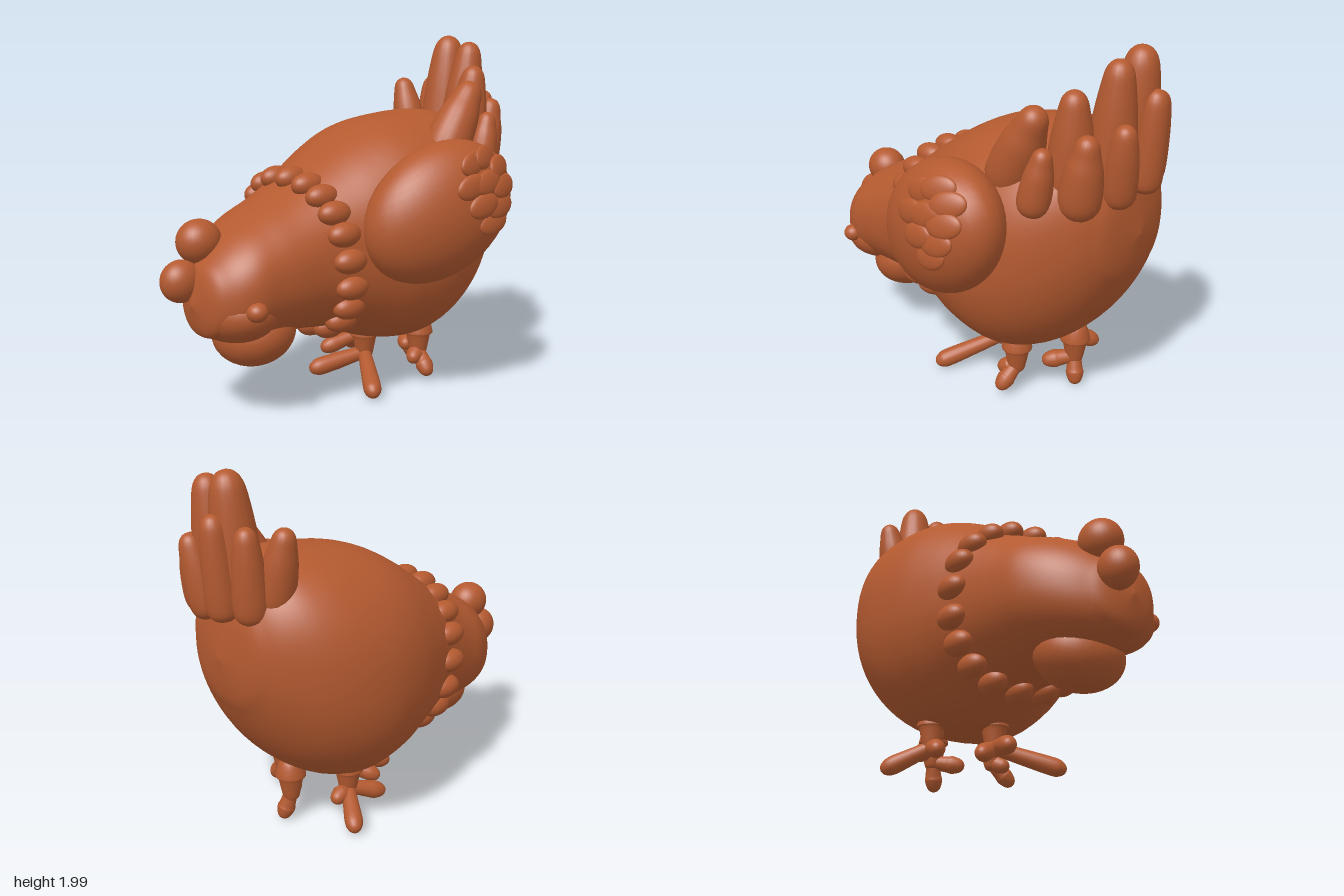
import * as THREE from 'three';

const clay = new THREE.MeshStandardMaterial({ color: 0xb45a30 });
clay.name = 'terracotta';

const V = (p) => new THREE.Vector3(...p);

function add(parent, name, geometry) {
  const mesh = new THREE.Mesh(geometry, clay);
  mesh.name = name;
  parent.add(mesh);
  return mesh;
}

function addGroup(parent, name) {
  const group = new THREE.Group();
  group.name = name;
  parent.add(group);
  return group;
}

// Ellipsoid from centre and half sizes
function blob(parent, name, pos, half) {
  const mesh = add(parent, name, new THREE.SphereGeometry(1, 32, 24));
  mesh.position.set(...pos);
  mesh.scale.set(...half);
  return mesh;
}

// Rounded, tapering shape running from a to b
function taper(parent, name, a, b, r0, r1) {
  const from = V(a), dir = V(b).sub(from), len = dir.length();
  const profile = [[0, -r0], [0.7 * r0, -0.7 * r0], [r0, 0], [(r0 + r1) / 2 * 1.06, len * 0.45],
    [r1, len - 1.4 * r1], [0.77 * r1, len - 0.55 * r1], [0.43 * r1, len - 0.14 * r1], [0, len]];
  const curve = new THREE.SplineCurve(profile.map(p => new THREE.Vector2(...p)));
  const pts = curve.getPoints(28).map(p => new THREE.Vector2(Math.max(p.x, 0), p.y));
  const mesh = add(parent, name, new THREE.LatheGeometry(pts, 20));
  mesh.position.copy(from);
  mesh.quaternion.setFromUnitVectors(new THREE.Vector3(0, 1, 0), dir.normalize());
  return mesh;
}

// Body and head sections: position along the bird, sideways shift, half width, top, bottom
const SECTIONS = [
  [-0.98, 0, 0, 1.055, 1.055], [-0.95, 0, 0.2, 1.28, 0.87], [-0.9, 0, 0.31, 1.4, 0.75],
  [-0.8, 0, 0.43, 1.51, 0.57], [-0.63, 0, 0.55, 1.56, 0.38], [-0.36, 0, 0.62, 1.55, 0.25],
  [-0.1, 0, 0.59, 1.5, 0.27], [0.1, 0, 0.52, 1.4, 0.34], [0.25, 0, 0.46, 1.3, 0.39],
  [0.37, 0, 0.425, 1.22, 0.41], [0.5, 0.005, 0.4, 1.15, 0.42], [0.68, 0.015, 0.37, 1.07, 0.43],
  [0.84, 0.05, 0.31, 0.98, 0.44], [0.95, 0.07, 0.215, 0.88, 0.47], [1.01, 0.075, 0.125, 0.79, 0.52],
  [1.04, 0.075, 0, 0.65, 0.65],
];
const loft = new THREE.CubicInterpolant(
  SECTIONS.map(s => s[0]), SECTIONS.flatMap(s => s.slice(1)), 4, new Float32Array(4));

function surfacePoint(z, t) {
  const [cx, hw, top, bottom] = loft.evaluate(z);
  const round = (v) => Math.sign(v) * Math.pow(Math.abs(v), 0.9);
  return [cx + hw * round(Math.cos(t)), (top + bottom) / 2 + (top - bottom) / 2 * round(Math.sin(t)), z];
}

function bodyGeometry(rows = 90, cols = 64) {
  const pos = [], index = [];
  for (let i = 0; i <= rows; i++) {
    const z = 0.03 - 1.01 * Math.cos(Math.PI * i / rows);
    for (let j = 0; j < cols; j++) pos.push(...surfacePoint(z, 2 * Math.PI * j / cols));
  }
  for (let i = 0; i < rows; i++) for (let j = 0; j < cols; j++) {
    const a = i * cols + j, b = i * cols + (j + 1) % cols;
    index.push(a, b, a + cols, b, b + cols, a + cols);
  }
  const g = new THREE.BufferGeometry();
  g.setAttribute('position', new THREE.Float32BufferAttribute(pos, 3));
  g.setIndex(index);
  g.computeVertexNormals();
  return g;
}

export function createModel() {
  const root = new THREE.Group();
  root.name = 'hen';

  // Everything in this group faces along its own +z
  const bird = addGroup(root, 'bird');
  bird.rotation.y = -1.0;
  add(bird, 'bodyAndHead', bodyGeometry());

  // Beak, comb and eye
  blob(bird, 'upperBeak', [0.08, 0.6, 0.8], [0.285, 0.17, 0.22]);
  blob(bird, 'lowerBeak', [0.05, 0.45, 0.65], [0.24, 0.18, 0.22]).rotation.x = 0.3;
  blob(bird, 'combBall', [-0.02, 0.95, 0.93], [0.11, 0.115, 0.12]);
  blob(bird, 'noseBall', [-0.02, 0.76, 1.04], [0.095, 0.11, 0.11]);
  blob(bird, 'eye', [0.355, 0.64, 0.84], [0.055, 0.05, 0.055]);

  // Scalloped neck ruff, its top leaning forward
  const ruff = addGroup(bird, 'neckRuff');
  for (let i = 0; i < 20; i++) {
    const t = 2 * Math.PI * i / 20;
    const [x, y, z] = surfacePoint(0.28 + 0.025 * Math.cos(t) + 0.07 * Math.sin(t), t);
    blob(ruff, 'ruffFeather', [x * 0.98, 0.82 + (y - 0.82) * 0.98, z], [0.066, 0.066, 0.1]);
  }

  // Single wing, its rear raised and flared
  const wing = addGroup(bird, 'wing');
  wing.position.set(0.585, 1.06, -0.18);
  wing.rotation.set(0.52, -0.25, 0, 'YXZ');
  const T = 0.245, H = 0.35, L = 0.46;
  blob(wing, 'wingBody', [0, 0, 0], [T, H, L]);
  const petals = [[-0.36, 0.07], [-0.31, 0.16], [-0.32, -0.02], [-0.22, 0.18], [-0.23, 0.06],
    [-0.24, -0.09], [-0.13, 0.1], [-0.14, -0.02], [-0.16, -0.14]];
  for (const [z, y] of petals) {
    const x = T * Math.sqrt(1 - (y / H) ** 2 - (z / L) ** 2);
    const slope = Math.atan2(-z * T / (L * L), x / T);
    blob(wing, 'wingFeather', [x, y, z], [0.025, 0.065, 0.1]).rotation.set(-0.25, slope, 0, 'YXZ');
  }

  // Tail: tall inner row, short outer row; base, tip, base radius, tip radius
  const tail = addGroup(root, 'tail');
  const feathers = [
    [[0.54, 1.38, -0.6], [0.49, 1.74, -0.67], 0.1, 0.07],
    [[0.7, 1.38, -0.5], [0.75, 2.0, -0.52], 0.13, 0.095],
    [[0.78, 1.38, -0.36], [0.84, 1.96, -0.37], 0.13, 0.082],
    [[0.75, 1.32, -0.17], [0.81, 1.82, -0.16], 0.13, 0.08],
    [[0.58, 1.36, 0.08], [0.76, 1.73, 0.0], 0.13, 0.09],
    [[0.8, 1.28, 0.03], [0.85, 1.56, 0.0], 0.085, 0.06],
    [[0.86, 1.29, -0.18], [0.93, 1.63, -0.19], 0.11, 0.072],
    [[0.86, 1.31, -0.38], [0.94, 1.67, -0.37], 0.09, 0.066],
    [[0.79, 1.34, -0.55], [0.83, 1.8, -0.57], 0.085, 0.067],
    [[0.66, 1.34, -0.62], [0.68, 1.75, -0.66], 0.09, 0.065],
  ];
  for (const f of feathers) taper(tail, 'tailFeather', ...f);

  // Four short legs under the belly with spread toes
  const feet = [
    [0.14, 0.0, [[0.13, 0.045, 0.39], [-0.19, 0.1, 0.07], [-0.1, 0.07, -0.08]]],
    [0.46, 0.0, [[0.5, 0.05, 0.12], [0.4, 0.13, 0.09]]],
    [0.14, -0.34, [[0.15, 0.04, -0.61], [-0.08, 0.1, -0.3], [0.24, 0.14, -0.44]]],
    [0.46, -0.34, [[0.51, 0.01, -0.33], [0.42, 0.14, -0.16]]],
  ];
  for (const [x, z, toes] of feet) {
    const foot = addGroup(root, 'foot');
    taper(foot, 'leg', [x, 0.17, z], [x, 0.4, z], 0.05, 0.085);
    for (const tip of toes) taper(foot, 'toe', [x, 0.17, z], tip, 0.036, 0.05);
  }
  return root;
}
